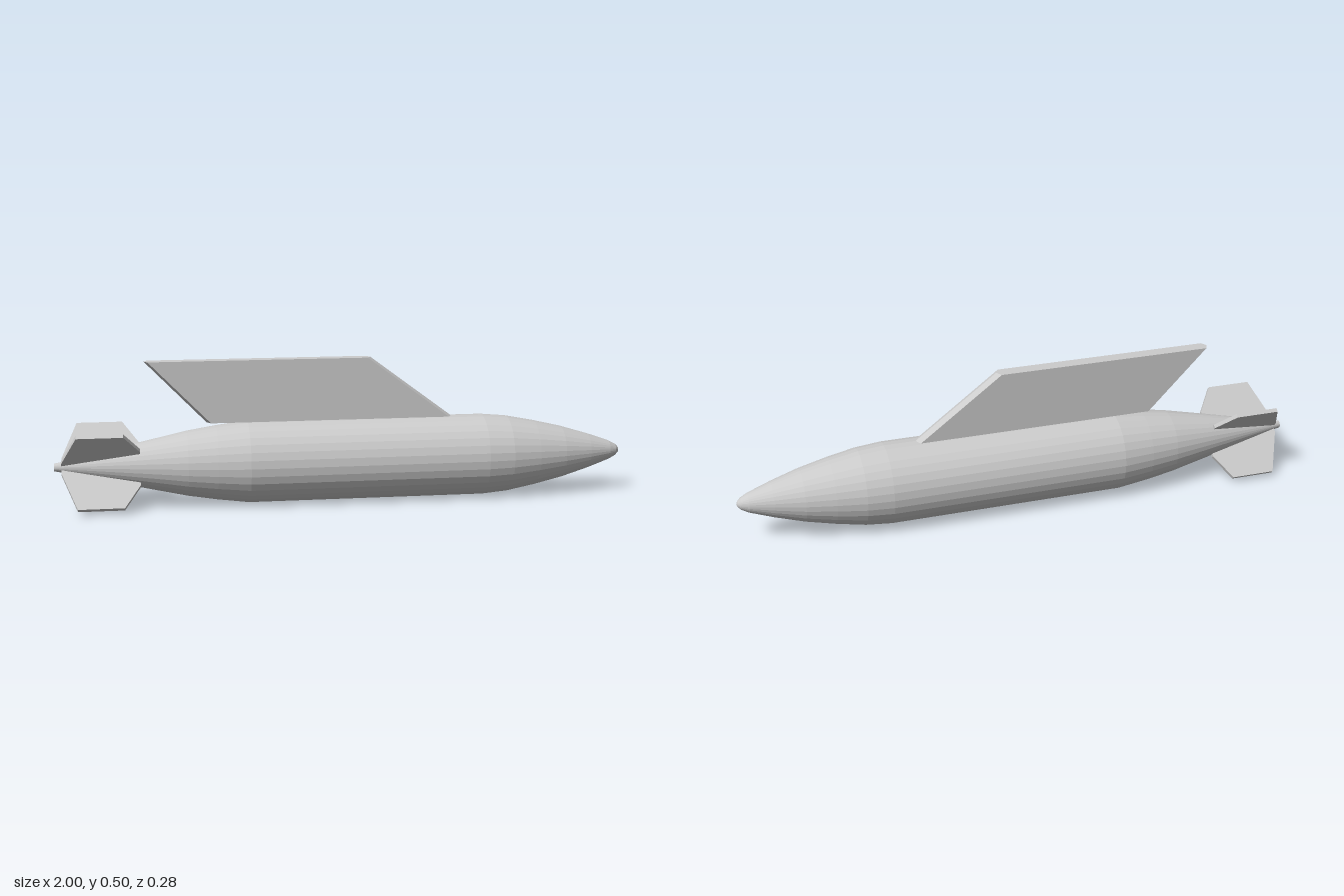
import * as THREE from 'three';

const AXIS_Y = 0.142;
const material = new THREE.MeshStandardMaterial({ color: 0xcccccc, flatShading: true });

function part(name, geometry) {
  const mesh = new THREE.Mesh(geometry, material);
  mesh.name = name;
  return mesh;
}

// Turned body: [x along the axis, radius], tail to nose
function createBody() {
  const profile = [
    [-1, 0], [-1, 0.013], [-0.975, 0.018], [-0.72, 0.075], [-0.55, 0.112], [-0.45, 0.128],
    [-0.34, 0.142], [0.49, 0.142], [0.58, 0.134], [0.68, 0.115], [0.78, 0.092],
    [0.88, 0.062], [0.96, 0.034], [0.985, 0.021], [0.996, 0.01], [1, 0],
  ].map(([x, r]) => new THREE.Vector2(r, x));
  const geometry = new THREE.LatheGeometry(profile, 32);
  geometry.rotateZ(-Math.PI / 2);
  const body = part('body', geometry);
  body.position.y = AXIS_Y;
  return body;
}

// Swept pylon: a long hexagon with pointed ends, extruded upward then sheared and shortened
function createPylon() {
  const bottom = 0.283, top = 0.498, half = 0.024, point = 0.016;
  const shape = new THREE.Shape([
    [0, 0], [point, -half], [1 - point, -half], [1, 0], [1 - point, half], [point, half],
  ].map(([x, z]) => new THREE.Vector2(x, z)));
  const geometry = new THREE.ExtrudeGeometry(shape, { depth: 1, bevelEnabled: false });
  geometry.rotateX(-Math.PI / 2);
  const p = geometry.attributes.position;
  for (let i = 0; i < p.count; i++) {
    const t = p.getY(i);
    const back = THREE.MathUtils.lerp(-0.48, -0.69, t);
    const front = THREE.MathUtils.lerp(0.38, 0.09, t);
    p.setXYZ(i, back + p.getX(i) * (front - back), bottom + t * (top - bottom), p.getZ(i));
  }
  geometry.computeVertexNormals();
  return part('pylon', geometry);
}

// Four tail fins set diagonally around the axis
function createTailFins() {
  const thickness = 0.014;
  const outline = [
    [-0.975, 0], [-0.975, 0.03], [-0.922, 0.177], [-0.766, 0.177], [-0.71, 0.087], [-0.71, 0],
  ].map(([x, y]) => new THREE.Vector2(x, y));
  const geometry = new THREE.ExtrudeGeometry(new THREE.Shape(outline), { depth: thickness, bevelEnabled: false });
  geometry.translate(0, 0, -thickness / 2);
  const fins = new THREE.Group();
  fins.name = 'tailFins';
  fins.position.y = AXIS_Y;
  for (let i = 0; i < 4; i++) {
    const fin = part('tailFin', geometry);
    fin.rotation.x = Math.PI / 4 + i * Math.PI / 2;
    fins.add(fin);
  }
  return fins;
}

export function createModel() {
  const model = new THREE.Group();
  model.name = 'finnedPod';
  model.add(createBody(), createPylon(), createTailFins());
  return model;
}
